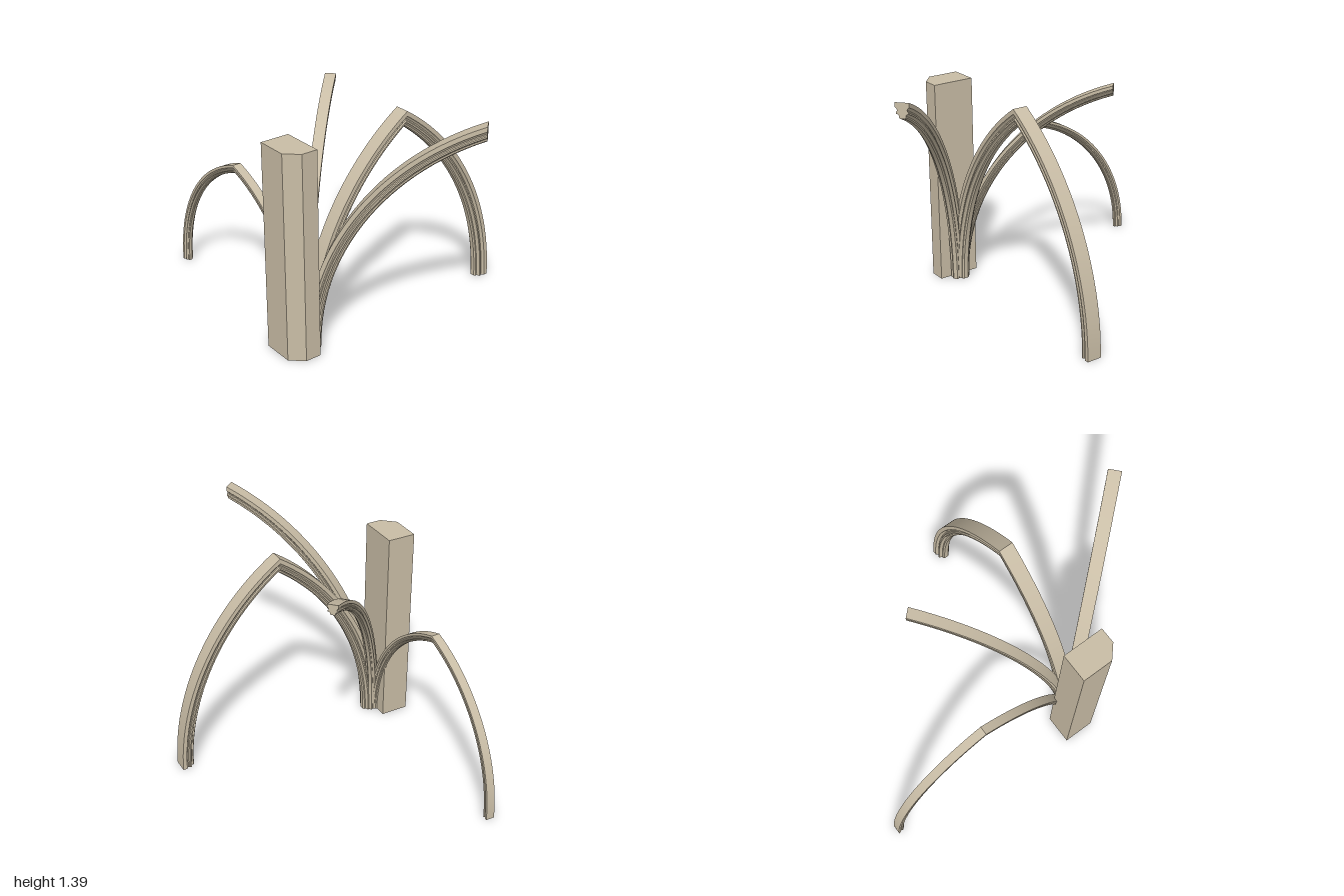
import * as THREE from 'three';

const stone = new THREE.MeshStandardMaterial({ color: 0xc9bda6 });
stone.name = 'limestone';

// Moulded rib section, right half: [half-width factor, depth factor from the outer face]
const half = [
  [1, 0], [1, 0.3], [0.82, 0.36], [0.7, 0.46], [0.72, 0.54], [0.88, 0.6], [0.88, 0.7],
  [0.62, 0.74], [0.48, 0.82], [0.5, 0.92], [0.3, 1],
];
const section = [...half, ...half.map(([s, d]) => [-s, d]).reverse()];

// One curved rib: rises vertically from its foot along a circular arc
// and is cut by a vertical plane at horizontal distance `span`.
function rib(name, foot, end, rise, width, depth, segments = 28) {
  const dir = new THREE.Vector3(end[0] - foot[0], 0, end[1] - foot[1]);
  const span = dir.length();
  dir.normalize();
  const side = new THREE.Vector3().crossVectors(dir, new THREE.Vector3(0, 1, 0));
  const R = (span * span + rise * rise) / (2 * span);

  const point = ([s, d], f) => {
    const r = R - d * depth;
    const t = f * Math.acos((R - span) / r);
    return new THREE.Vector3(foot[0], 0, foot[1])
      .addScaledVector(dir, R - r * Math.cos(t))
      .addScaledVector(side, s * width / 2)
      .setY(r * Math.sin(t));
  };

  const positions = [], index = [];
  // Each section edge gets its own strip: smooth along the rib, crisp across it
  section.forEach((a, i) => {
    const b = section[(i + 1) % section.length];
    const base = positions.length / 3;
    for (let j = 0; j <= segments; j++) {
      positions.push(...point(a, j / segments).toArray(), ...point(b, j / segments).toArray());
      if (j < segments) {
        const k = base + j * 2;
        index.push(k, k + 1, k + 2, k + 1, k + 3, k + 2);
      }
    }
  });

  // Flat end faces
  const outline = section.map(([s, d]) => new THREE.Vector2(s, d));
  const faces = THREE.ShapeUtils.triangulateShape(outline, []);
  for (const f of [0, 1]) {
    const base = positions.length / 3;
    section.forEach((p) => positions.push(...point(p, f).toArray()));
    for (const [a, b, c] of faces) {
      if (f) index.push(base + a, base + b, base + c);
      else index.push(base + a, base + c, base + b);
    }
  }

  const geometry = new THREE.BufferGeometry();
  geometry.setAttribute('position', new THREE.Float32BufferAttribute(positions, 3));
  geometry.setIndex(index);
  geometry.computeVertexNormals();
  const mesh = new THREE.Mesh(geometry, stone);
  mesh.name = name;
  return mesh;
}

// Pointed arch: two ribs meeting midway between their feet
function pointedArch(name, footA, footB, rise, width, depth) {
  const arch = new THREE.Group();
  arch.name = name;
  const apex = [(footA[0] + footB[0]) / 2, (footA[1] + footB[1]) / 2];
  arch.add(
    rib(name + 'NearHalf', footA, apex, rise, width, depth),
    rib(name + 'FarHalf', footB, apex, rise, width, depth),
  );
  return arch;
}

export function createModel() {
  const model = new THREE.Group();
  model.name = 'vaultBay';

  // Pier with one chamfered front corner
  const plan = new THREE.Shape([
    [0.15, 0.58], [0.15, 0.75], [0.335, 0.75], [0.403, 0.675], [0.403, 0.58],
  ].map(([x, z]) => new THREE.Vector2(x, -z)));
  const pierGeometry = new THREE.ExtrudeGeometry(plan, { depth: 1.225, bevelEnabled: false });
  pierGeometry.rotateX(-Math.PI / 2);
  const pier = new THREE.Mesh(pierGeometry, stone);
  pier.name = 'pier';
  model.add(pier);

  // Arches square to the pier
  model.add(pointedArch('transverseArch', [0.276, 0.58], [0.276, -0.75], 1.238, 0.088, 0.08));
  model.add(pointedArch('wallArch', [0.27, 0.578], [-1, 0.578], 0.867, 0.052, 0.048));

  // Diagonal ribs springing from the same foot
  model.add(rib('leftDiagonalRib', [0.276, 0.58], [0.972, -0.045], 1.387, 0.076, 0.08));
  model.add(rib('rightDiagonalRib', [0.276, 0.58], [-0.37, -0.09], 1.253, 0.064, 0.06));

  return model;
}
